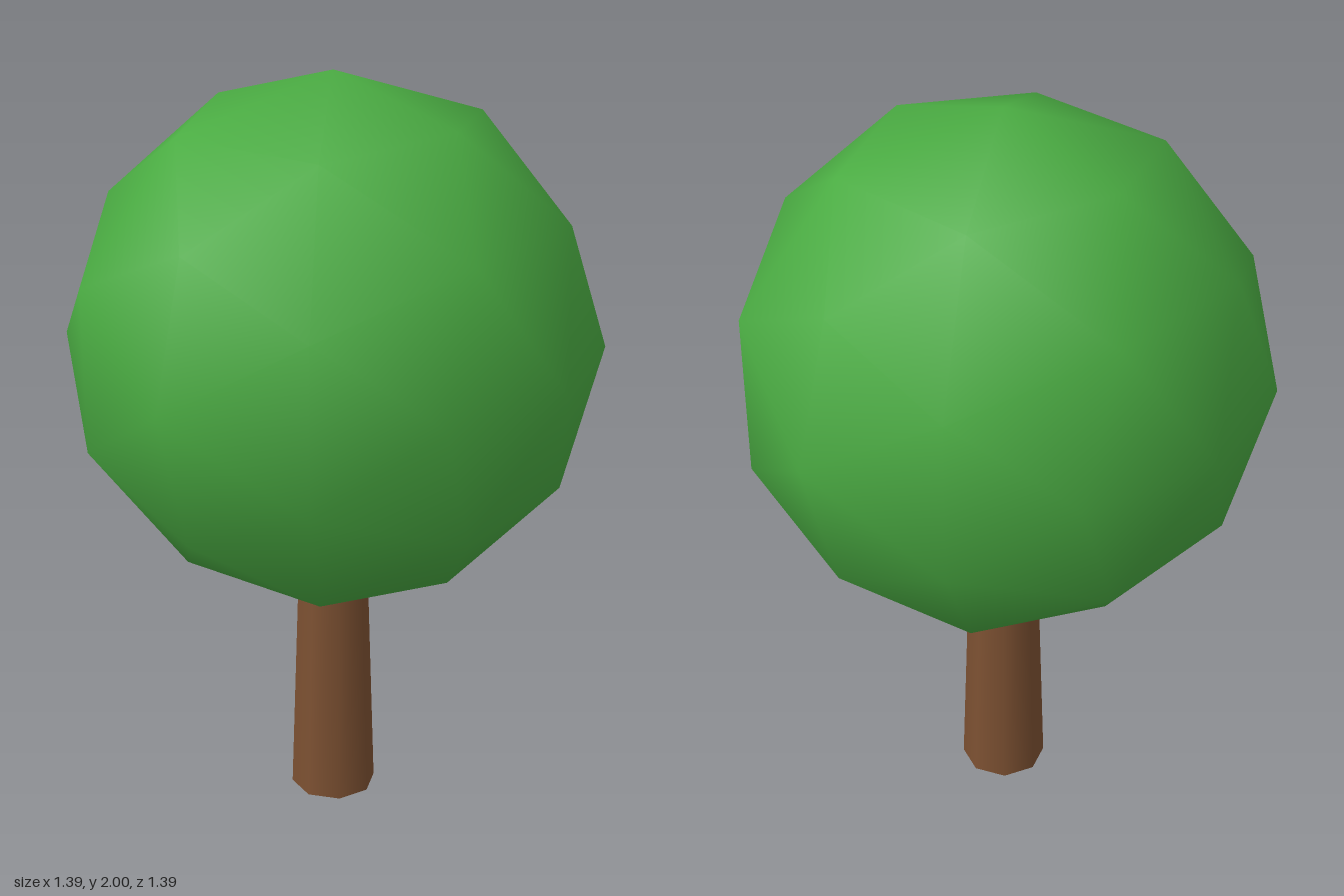
import * as THREE from 'three';

const leafGreen = new THREE.MeshStandardMaterial({ color: 0x4aab42 });
leafGreen.name = 'leafGreen';
const barkBrown = new THREE.MeshStandardMaterial({ color: 0x7d5132 });
barkBrown.name = 'barkBrown';

const CANOPY_RADIUS = 0.693;
const TRUNK_HEIGHT = 0.693;

function addPart(group, name, geometry, material, y) {
  const mesh = new THREE.Mesh(geometry, material);
  mesh.name = name;
  mesh.position.y = y;
  group.add(mesh);
}

export function createModel() {
  const tree = new THREE.Group();
  tree.name = 'tree';

  // Tapered eight-sided trunk, its top hidden inside the canopy
  addPart(tree, 'trunk', new THREE.CylinderGeometry(0.0925, 0.1155, TRUNK_HEIGHT, 8), barkBrown, TRUNK_HEIGHT / 2);

  // Round canopy: once-subdivided icosahedron with smooth normals
  addPart(tree, 'canopy', new THREE.IcosahedronGeometry(CANOPY_RADIUS, 1), leafGreen, 2 - CANOPY_RADIUS);

  return tree;
}
